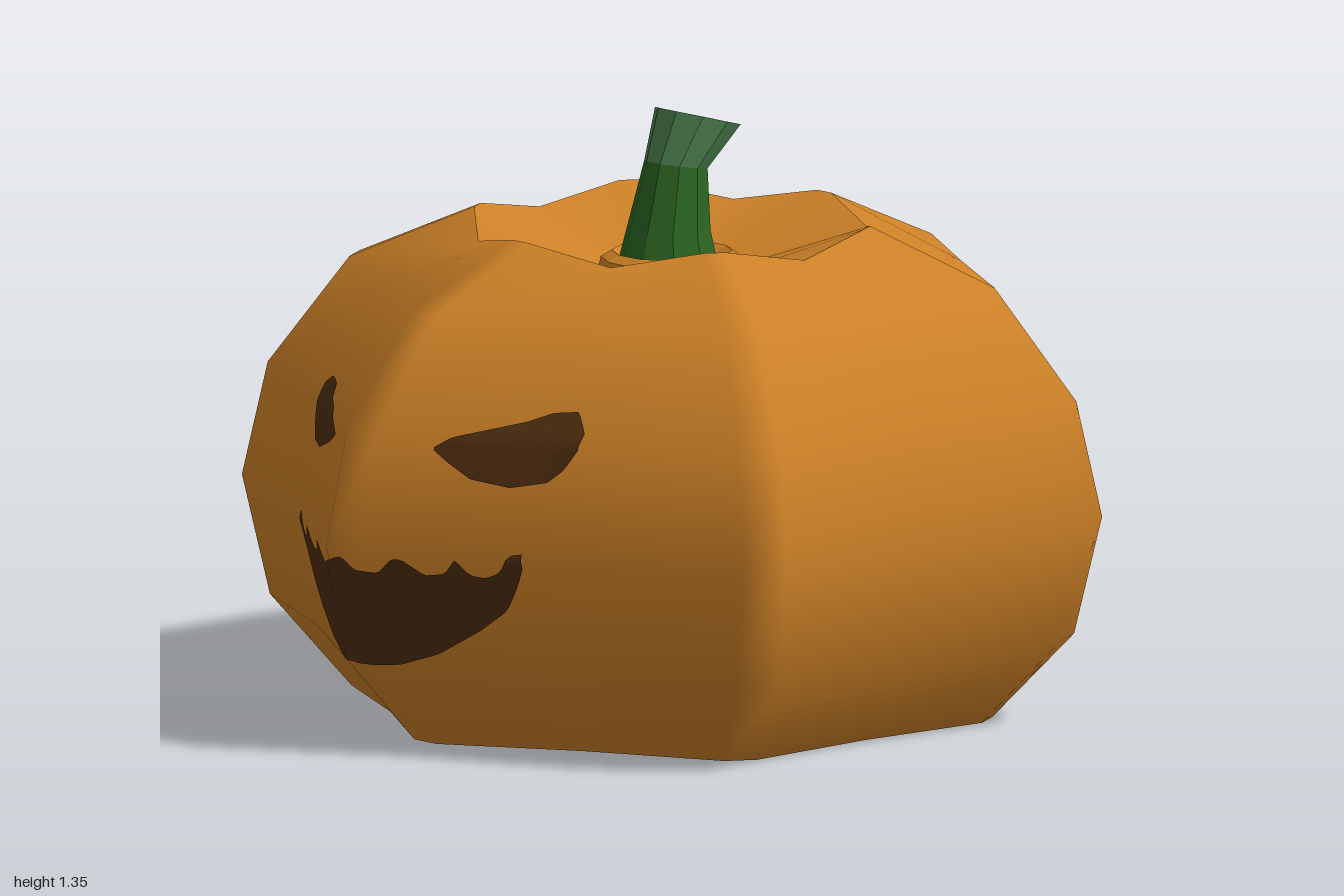
import * as THREE from 'three';

const mat = (name, color, side = THREE.FrontSide) => {
  const m = new THREE.MeshStandardMaterial({ color, side });
  m.name = name;
  return m;
};

// Skin joining closed rings of points, lowest/outermost first
function loft(rings, flat = false) {
  const n = rings[0].length, pos = [], index = [];
  rings.forEach(r => r.forEach(p => pos.push(...p)));
  for (let i = 0; i < rings.length - 1; i++) {
    for (let j = 0; j < n; j++) {
      const k = (j + 1) % n, a = i * n, b = a + n;
      index.push(a + j, a + k, b + k, a + j, b + k, b + j);
    }
  }
  let g = new THREE.BufferGeometry();
  g.setAttribute('position', new THREE.Float32BufferAttribute(pos, 3));
  g.setIndex(index);
  if (flat) g = g.toNonIndexed();
  g.computeVertexNormals();
  return g;
}

// Six-lobed ring: two points on each ridge, one in each groove
function lobedRing(r, y, groove, grooveY = y) {
  const pts = [];
  for (let k = 0; k < 6; k++) {
    for (const [deg, f, h] of [[-2.9, 1, y], [2.9, 1, y], [30, groove, grooveY]]) {
      const a = THREE.MathUtils.degToRad(k * 60 + deg);
      pts.push([Math.sin(a) * r * f, h, Math.cos(a) * r * f]);
    }
  }
  return pts;
}

// Round ring, optionally leaning backwards
function roundRing(r, y, z = 0, tilt = 0, n = 10) {
  return Array.from({ length: n }, (_, i) => {
    const a = ((i + 0.5) / n) * Math.PI * 2, d = Math.cos(a) * r;
    return [Math.sin(a) * r, y + d * Math.sin(tilt), z + d * Math.cos(tilt)];
  });
}

// Height of a polyline at x
function at(line, x) {
  for (let i = 1; i < line.length; i++) {
    const [x0, y0] = line[i - 1], [x1, y1] = line[i];
    if (x <= x1) return y0 + (y1 - y0) * Math.max(0, (x - x0) / (x1 - x0));
  }
  return line[line.length - 1][1];
}

// Thin patch between two edge lines, laid onto the front of the body
function patch(body, upper, lower, cols, rows) {
  const g = new THREE.PlaneGeometry(1, 1, cols, rows), p = g.attributes.position;
  const ray = new THREE.Raycaster(), dir = new THREE.Vector3(0, 0, -1);
  const x0 = upper[0][0], x1 = upper[upper.length - 1][0];
  for (let i = 0; i < p.count; i++) {
    const x = x0 + (x1 - x0) * (p.getX(i) + 0.5);
    const y = THREE.MathUtils.lerp(at(lower, x), at(upper, x), p.getY(i) + 0.5);
    ray.set(new THREE.Vector3(x, y, 3), dir);
    const hit = ray.intersectObject(body)[0];
    p.setXYZ(i, x, y, (hit ? hit.point.z : 0.8) + 0.007);
  }
  g.computeVertexNormals();
  return g;
}

export function createModel() {
  const group = new THREE.Group();
  const orange = mat('pumpkin orange', 0xcd8127);
  const brown = mat('carved brown', 0x4e2d10, THREE.DoubleSide);
  const green = mat('stem green', 0x2b6522);
  const paleGreen = mat('pale stem green', 0x4a7d4b);
  const add = (name, geometry, material) => {
    const m = new THREE.Mesh(geometry, material);
    m.name = name;
    group.add(m);
    return m;
  };

  // Body, base and hollow top
  const base = lobedRing(0.745, 0, 0.866);
  const rim = lobedRing(0.46, 1.107, 0.967, 1.068);
  const body = add('body', loft([
    base,
    lobedRing(0.935, 0.2, 0.866),
    lobedRing(1.0, 0.47, 0.866),
    lobedRing(0.94, 0.73, 0.868),
    lobedRing(0.75, 0.98, 0.885),
    rim,
  ]), orange);
  body.updateMatrixWorld();
  add('base', loft([lobedRing(0, 0, 1), base]), orange);
  add('topHollow', loft([rim, lobedRing(0.14, 0.985, 1)]), orange);

  // Collar around the stem
  add('collar', loft([
    roundRing(0.168, 0.98, 0, 0, 12),
    roundRing(0.16, 1.015, 0, 0, 12),
    roundRing(0.135, 1.03, 0, 0, 12),
    roundRing(0.09, 1.0, 0, 0, 12),
  ], true), orange);

  // Bent stem
  const waist = roundRing(0.073, 1.225, -0.012, 0.16);
  const tip = roundRing(0.1, 1.327, -0.078, 0.27);
  add('lowerStem', loft([roundRing(0.118, 0.99, 0.012), roundRing(0.096, 1.08, 0.01), waist], true), green);
  add('upperStem', loft([waist, tip], true), paleGreen);
  add('stemTip', loft([tip, roundRing(0, 1.327, -0.078)], true), paleGreen);

  // Carved face
  add('rightEye', patch(body,
    [[-0.378, 0.765], [-0.345, 0.785], [-0.29, 0.78], [-0.265, 0.755], [-0.22, 0.745], [-0.135, 0.705]],
    [[-0.378, 0.745], [-0.36, 0.69], [-0.33, 0.652], [-0.27, 0.645], [-0.18, 0.675], [-0.135, 0.7]],
    32, 8), brown);
  add('leftEye', patch(body,
    [[0.17, 0.712], [0.2, 0.735], [0.33, 0.775], [0.37, 0.795], [0.42, 0.8], [0.453, 0.755]],
    [[0.17, 0.705], [0.2, 0.68], [0.25, 0.645], [0.33, 0.63], [0.4, 0.645], [0.43, 0.675], [0.453, 0.72]],
    32, 8), brown);
  add('mouth', patch(body,
    [[-0.347, 0.49], [-0.32, 0.48], [-0.3, 0.442], [-0.28, 0.447], [-0.255, 0.48], [-0.23, 0.45],
      [-0.2, 0.433], [-0.165, 0.44], [-0.14, 0.47], [-0.11, 0.445], [-0.08, 0.428], [-0.02, 0.45],
      [0, 0.455], [0.04, 0.43], [0.09, 0.425], [0.12, 0.46], [0.14, 0.46], [0.18, 0.425],
      [0.22, 0.43], [0.245, 0.465], [0.27, 0.43], [0.3, 0.425], [0.33, 0.44], [0.35, 0.48], [0.375, 0.485]],
    [[-0.347, 0.47], [-0.32, 0.42], [-0.29, 0.345], [-0.25, 0.29], [-0.17, 0.235], [-0.08, 0.21],
      [0, 0.203], [0.1, 0.21], [0.18, 0.24], [0.27, 0.3], [0.33, 0.35], [0.36, 0.41], [0.375, 0.45]],
    72, 10), brown);

  return group;
}
